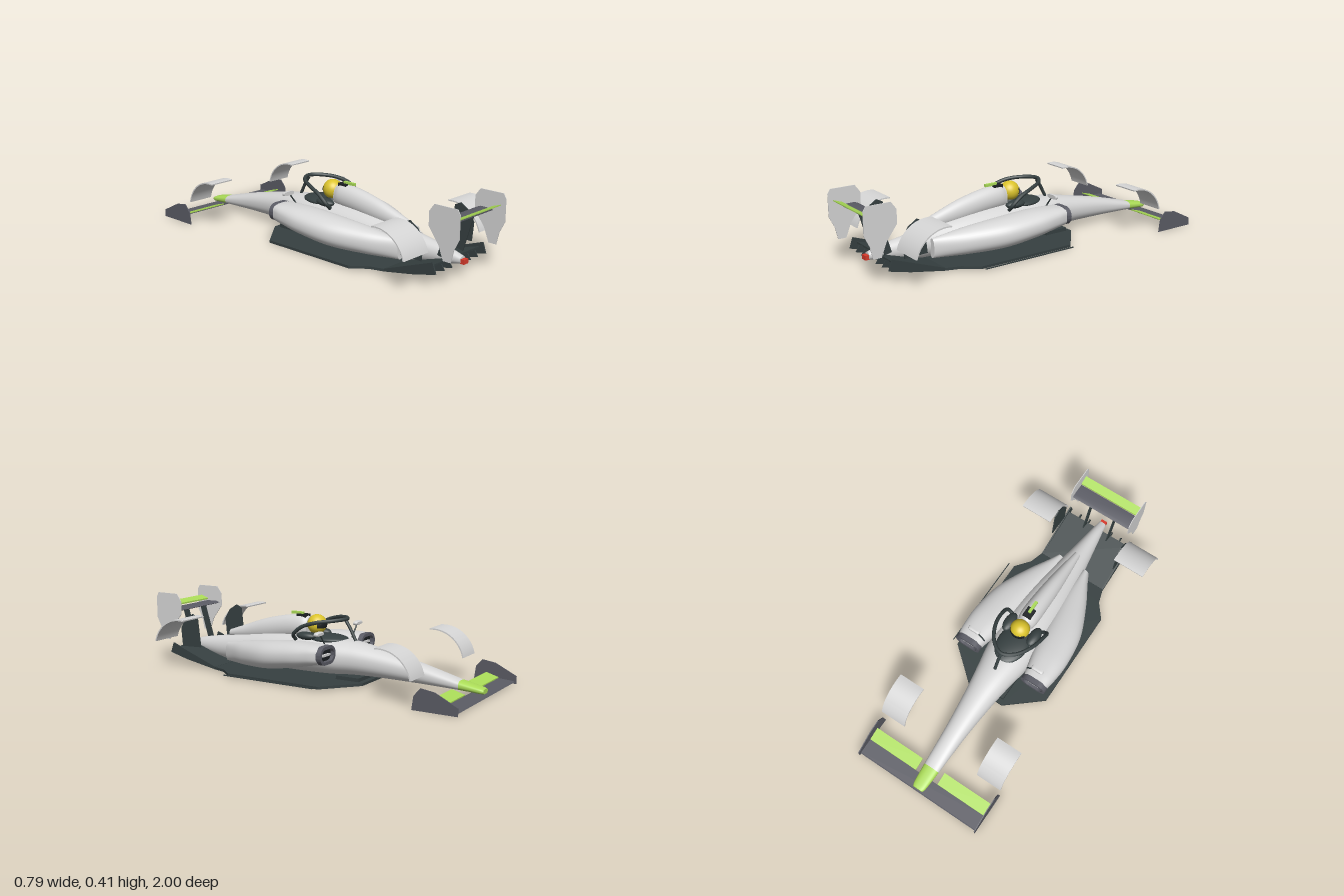
import * as THREE from 'three';
import { toCreasedNormals } from 'three/addons/utils/BufferGeometryUtils.js';

const mat = (name, color) => Object.assign(new THREE.MeshStandardMaterial({ color }), { name });

export function createModel() {
  const car = new THREE.Group();
  car.name = 'raceCar';
  const white = mat('bodyGrey', 0xd6d6d6), carbon = mat('carbon', 0x364041), grey = mat('wingGrey', 0x5b5c65),
    green = mat('limeGreen', 0xabdc58), yellow = mat('helmetYellow', 0xdcc42c), red = mat('lightRed', 0xd93a2b),
    black = mat('visorBlack', 0x1c2022);

  const add = (name, geo, material, x = 0, y = 0, z = 0) => {
    const m = new THREE.Mesh(geo, material);
    m.name = name;
    m.position.set(x, y, z);
    car.add(m);
    return m;
  };
  const both = (fn) => [-1, 1].forEach(fn);
  const box = (w, h, d) => new THREE.BoxGeometry(w, h, d);

  // Flat [z, y] outline given a width along x
  const plate = (pts, width) => {
    const g = new THREE.ExtrudeGeometry(new THREE.Shape(pts.map((p) => new THREE.Vector2(...p))),
      { depth: width, bevelEnabled: false });
    g.translate(0, 0, -width / 2).rotateY(-Math.PI / 2);
    return toCreasedNormals(g, 0.5);
  };

  // Smooth skin over sections [z, centre x, half width, bottom y, top y, squareness]
  const loft = (sections, steps = 48, n = 40) => {
    const a = new THREE.CatmullRomCurve3(sections.map((s) => new THREE.Vector3(s[0], s[1], s[2])), false, 'catmullrom');
    const b = new THREE.CatmullRomCurve3(sections.map((s) => new THREE.Vector3(s[3], s[4], s[5])), false, 'catmullrom');
    const pos = [], idx = [];
    const ring = (t) => {
      const p = a.getPoint(t), q = b.getPoint(t);
      for (let j = 0; j < n; j++) {
        const c = Math.cos(j / n * 2 * Math.PI), s = Math.sin(j / n * 2 * Math.PI);
        const pw = (v) => Math.sign(v) * Math.pow(Math.abs(v), 2 / q.z);
        pos.push(p.y + p.z * pw(c), (q.x + q.y) / 2 + (q.y - q.x) / 2 * pw(s), p.x);
      }
      return [p.y, (q.x + q.y) / 2, p.x];
    };
    for (let i = 0; i <= steps; i++) ring(i / steps);
    for (let i = 0; i < steps; i++) for (let j = 0; j < n; j++) {
      const k = (j + 1) % n, p = i * n, q = p + n;
      idx.push(p + j, p + k, q + j, p + k, q + k, q + j);
    }
    // End caps
    [0, 1].forEach((t) => {
      const start = pos.length / 3, mid = start + n;
      pos.push(...ring(t));
      for (let j = 0; j < n; j++) {
        const k = (j + 1) % n;
        idx.push(mid, start + (t ? j : k), start + (t ? k : j));
      }
    });
    const g = new THREE.BufferGeometry();
    g.setAttribute('position', new THREE.Float32BufferAttribute(pos, 3));
    g.setIndex(idx);
    g.computeVertexNormals();
    return g;
  };
  const tube = (pts, r, seg = 40) => new THREE.TubeGeometry(
    new THREE.CatmullRomCurve3(pts.map((p) => new THREE.Vector3(...p))), seg, r, 10);

  // Central body, nose tip and engine cover
  add('body', loft([
    [-.85, 0, .046, .035, .085, 2.5], [-.75, 0, .052, .037, .112, 2.4], [-.6, 0, .062, .04, .15, 2.3],
    [-.4, 0, .083, .042, .192, 2.2], [-.25, 0, .105, .04, .218, 2.2], [-.1, 0, .13, .03, .23, 2.2],
    [.1, 0, .13, .025, .235, 2.1], [.3, 0, .115, .025, .222, 2], [.5, 0, .085, .025, .19, 2],
    [.65, 0, .06, .03, .165, 2], [.8, 0, .036, .058, .14, 2], [.885, 0, .022, .078, .115, 2.4]], 70), white);
  add('noseTip', loft([[-.98, 0, .03, .03, .055, 2.6], [-.96, 0, .037, .029, .062, 2.6],
    [-.91, 0, .042, .032, .073, 2.5], [-.85, 0, .046, .035, .085, 2.5]], 16), green);
  add('engineCover', loft([
    [.055, 0, .045, .2, .325, 2], [.1, 0, .054, .2, .336, 2], [.2, 0, .053, .19, .326, 2],
    [.35, 0, .045, .17, .292, 2], [.5, 0, .03, .165, .24, 2], [.6, 0, .018, .165, .205, 2]]), white);
  add('tailLight', box(.036, .024, .024), red, 0, .092, .894);

  // Sidepods with framed inlets
  const inletPath = (Type, w, h) => {
    const p = new Type();
    const r = h * .95, a = w - r;
    p.absarc(a, 0, r, -Math.PI / 2, Math.PI / 2, false);
    p.absarc(-a, 0, r, Math.PI / 2, Math.PI * 1.5, false);
    p.closePath();
    return p;
  };
  both((s) => {
    add('sidepod', loft([
      [-.165, s * .215, .073, .125, .224, 3], [-.1, s * .212, .086, .112, .228, 2.6],
      [.02, s * .2, .103, .085, .226, 2.3], [.2, s * .175, .103, .055, .208, 2.2],
      [.38, s * .128, .075, .042, .18, 2.2], [.5, s * .098, .04, .04, .157, 2.2],
      [.56, s * .085, .022, .04, .145, 2.2]]), white);
    const frame = inletPath(THREE.Shape, .076, .052);
    frame.holes.push(inletPath(THREE.Path, .06, .034));
    add('inletFrame', toCreasedNormals(new THREE.ExtrudeGeometry(frame, { depth: .03, bevelEnabled: false }), .6),
      grey, s * .215, .175, -.192);
    add('inletCore', new THREE.ExtrudeGeometry(inletPath(THREE.Shape, .062, .036), { depth: .004, bevelEnabled: false }),
      black, s * .215, .175, -.171);
    add('inletVane', box(.07, .012, .012), white, s * .215, .175, -.178);

    // Mirror on a slanted stalk
    add('mirror', loft([[-.142, s * .205, .03, .272, .286, 3], [-.135, s * .205, .036, .268, .291, 3],
      [-.12, s * .205, .036, .268, .291, 3]], 6, 20), white);
    add('mirrorStalk', tube([[s * .195, .275, -.13], [s * .14, .205, -.13]], .004, 2), carbon);
  });

  // Cockpit, driver and camera
  const opening = new THREE.SphereGeometry(1, 32, 16).scale(.088, .026, .125);
  add('cockpitOpening', opening, carbon, 0, .218, -.06);
  both((s) => add('headrestPad', new THREE.SphereGeometry(1, 20, 12).scale(.032, .022, .06), carbon, s * .08, .235, .03));
  add('driverNeck', new THREE.CylinderGeometry(.03, .045, .05, 20), carbon, 0, .235, .01);
  add('helmet', new THREE.SphereGeometry(.054, 32, 24), yellow, 0, .29, .01);
  add('visor', new THREE.SphereGeometry(.0555, 24, 8, Math.PI * .17, Math.PI * .66, Math.PI * .4, Math.PI * .2)
    .rotateY(Math.PI), black, 0, .29, .01);
  add('airIntake', box(.05, .022, .06), black, 0, .328, .1);
  add('cameraPod', box(.016, .014, .075), green, 0, .343, .135);

  // Protective hoop over the cockpit
  add('halo', tube([[-.1, .215, .085], [-.128, .245, .082], [-.132, .29, .03], [-.118, .318, -.05], [-.07, .33, -.135],
    [0, .334, -.175], [.07, .33, -.135], [.118, .318, -.05], [.132, .29, .03], [.128, .245, .082], [.1, .215, .085]],
  .0105, 80), carbon);
  add('haloPillar', tube([[0, .33, -.17], [0, .285, -.2], [0, .22, -.235]], .009, 12), carbon);

  // Floor
  const half = [[.11, -.34], [.3, -.18], [.3, .4], [.235, .48], [.21, .56]];
  const outline = [...half, ...half.slice().reverse().map(([x, z]) => [-x, z])];
  add('floor', new THREE.ExtrudeGeometry(new THREE.Shape(outline.map(([x, z]) => new THREE.Vector2(x, -z))),
    { depth: .014, bevelEnabled: false }).rotateX(-Math.PI / 2), carbon, 0, .009, 0);
  add('splitter', box(.2, .02, .14), carbon, 0, .033, -.24);
  add('floorEdgeStrip', box(.004, .006, .57), carbon, .335, .02, .115);

  // Diffuser ramp and fins
  add('diffuserRamp', plate([[.56, .01], [.84, .096], [.84, .106], [.56, .024]], .42), carbon);
  [-.207, -.138, -.076, .076, .138, .207].forEach((x) => {
    const outer = Math.abs(x) > .2;
    add('diffuserFin', plate([[.56, .009], [.76, .045], [.88, .075], [.86, outer ? .132 : .106], [.56, .024]],
      outer ? .008 : .005), carbon, x);
  });

  // Curved wheel covers
  const arch = (cz, cy, from, to, width) => {
    const pts = [];
    for (let i = 0; i <= 24; i++) {
      const t = from + (to - from) * i / 24;
      pts.push([cz + .18 * Math.cos(t), cy + .18 * Math.sin(t)]);
    }
    for (let i = 24; i >= 0; i--) {
      const t = from + (to - from) * i / 24;
      pts.push([cz + .173 * Math.cos(t), cy + .173 * Math.sin(t)]);
    }
    return plate(pts, width);
  };
  both((s) => {
    add('rearWheelCover', arch(.66, .13, .26, 1.73, .185), white, s * .303);
    add('frontWheelCover', arch(-.58, .105, 1.43, 2.93, .15), white, s * .311);
    add('rearWheelFin', plate([[.66, .125], [.79, .12], [.8, .225], [.765, .28], [.715, .312], [.68, .295]], .006),
      carbon, s * .207);
  });

  // Rear wing
  add('rearWing', plate([[.83, .318], [.85, .311], [.92, .317], [.92, .325], [.85, .326]], .374), grey);
  add('rearWingFlap', plate([[.92, .331], [.967, .35], [.967, .355], [.92, .339]], .374), green);
  both((s) => {
    add('rearWingEndplate', plate([[.995, .39], [.98, .415], [.845, .415], [.815, .375], [.815, .3], [.875, .22],
      [.905, .145], [.95, .145], [.965, .21], [.995, .27]], .004), white, s * .188);
    add('rearWingPylon', plate([[.79, .12], [.83, .11], [.89, .315], [.85, .315]], .006), carbon, s * .078);
  });

  // Front wing
  add('frontWing', plate([[-.99, .012], [-.9, .014], [-.9, .024], [-.985, .018]], .76), grey);
  both((s) => {
    add('frontWingFlap', plate([[-.9, .024], [-.83, .045], [-.83, .05], [-.9, .03]], .306), green, s * .225);
    add('frontWingEndplate', plate([[-.76, .004], [-.77, .075], [-.805, .116], [-.88, .105], [-1, .046], [-1, .004]], .005),
      grey, s * .381);
  });
  return car;
}
